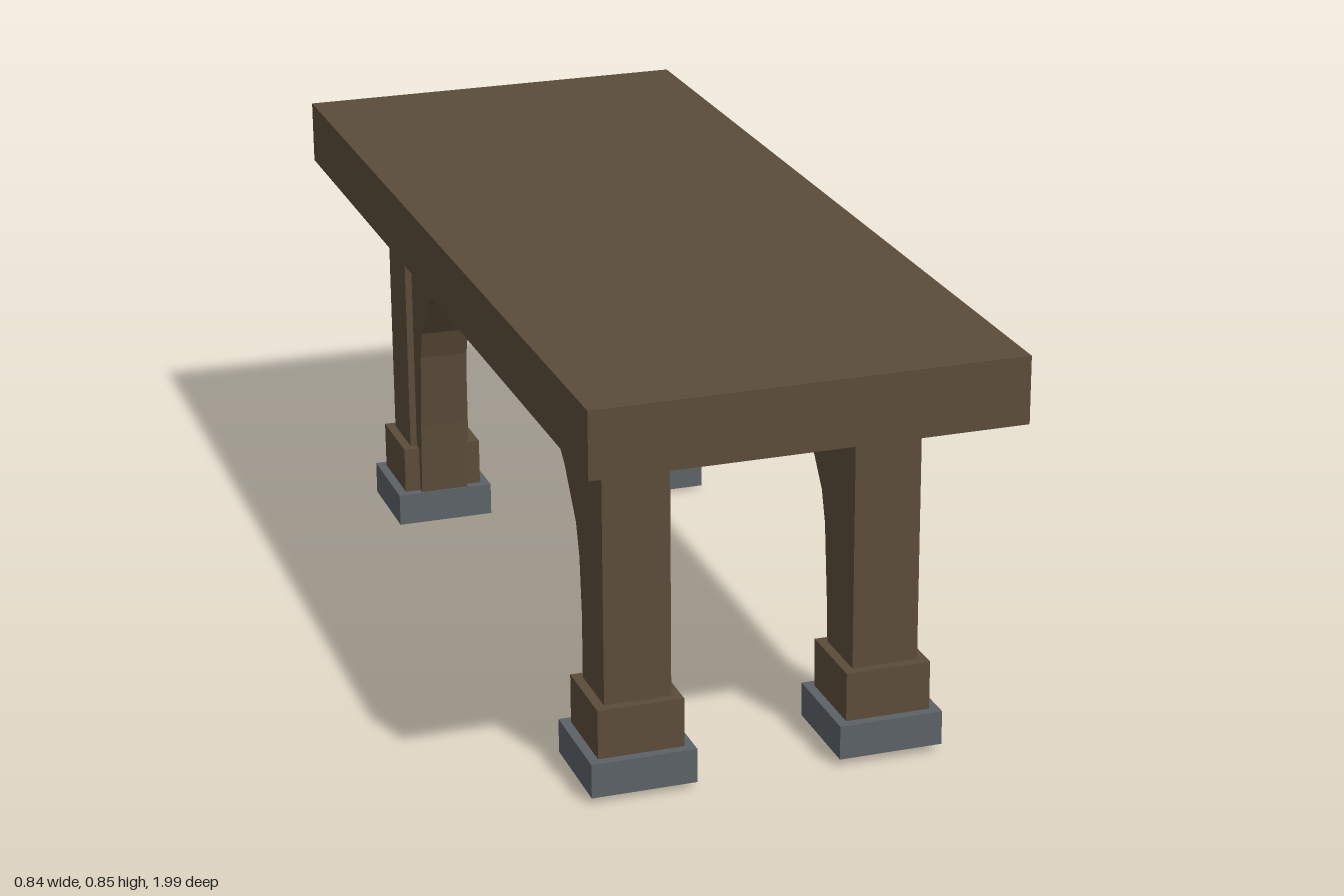
import * as THREE from 'three';

const wood = new THREE.MeshStandardMaterial({ color: 0x5b4c3a });
wood.name = 'brown wood';
const stone = new THREE.MeshStandardMaterial({ color: 0x5b6266 });
stone.name = 'grey stone';

function box(name, material, [w, h, d], [x, y, z]) {
  const mesh = new THREE.Mesh(new THREE.BoxGeometry(w, h, d), material);
  mesh.name = name;
  mesh.position.set(x, y, z);
  return mesh;
}

// Half outlines of the brace as [z, y]; mirrored to make the full arch
const inner = [[0.583, 0.067], [0.575, 0.22], [0.56, 0.38], [0.542, 0.44], [0.475, 0.53], [0.4, 0.592], [0.32, 0.628]];
const outer = [[0.35, 0.708], [0.43, 0.695], [0.525, 0.638], [0.597, 0.565], [0.63, 0.53], [0.63, 0.067]];

function archGeometry(width) {
  const mirror = (pts) => pts.map(([z, y]) => [-z, y]).reverse();
  const outline = [...inner, ...mirror(inner), ...mirror(outer), ...outer];
  const shape = new THREE.Shape(outline.map(([z, y]) => new THREE.Vector2(z, y)));
  const geometry = new THREE.ExtrudeGeometry(shape, { depth: width, bevelEnabled: false });
  geometry.translate(0, 0, -width / 2);
  geometry.rotateY(-Math.PI / 2); // outline runs along z, thickness along x
  return geometry;
}

export function createModel() {
  const table = new THREE.Group();
  table.name = 'table';

  // Thick slab top, the pivot of the slight lean
  const slabY = 0.768;
  table.add(box('tableTop', wood, [0.807, 0.127, 1.978], [0, slabY, 0]));

  // Four posts, each with a wooden plinth on a stone foot
  const arch = archGeometry(0.1);
  for (const side of [1, -1]) {
    const x = side * 0.24;
    const label = side > 0 ? 'left' : 'right';
    for (const end of [1, -1]) {
      const z = end * 0.68;
      const leg = new THREE.Group();
      leg.name = label + (end > 0 ? 'FrontLeg' : 'BackLeg');
      leg.add(
        box('foot', stone, [0.202, 0.067, 0.202], [x, 0.0335, z]),
        box('plinth', wood, [0.165, 0.096, 0.165], [x, 0.115, z]),
        box('post', wood, [0.128, 0.547, 0.128], [x, 0.4365, z]),
      );
      table.add(leg);
    }
    // Arched brace joining the front and back posts
    const brace = new THREE.Mesh(arch, wood);
    brace.name = label + 'ArchedBrace';
    brace.position.x = x;
    table.add(brace);
  }

  // The whole table leans and turns very slightly about the slab
  for (const part of table.children) part.position.y -= slabY;
  table.position.set(0, slabY + 0.009, 0);
  table.rotation.set(-0.0075, -0.0178, 0.0065);

  const model = new THREE.Group();
  model.name = 'archedTable';
  model.add(table);
  return model;
}
